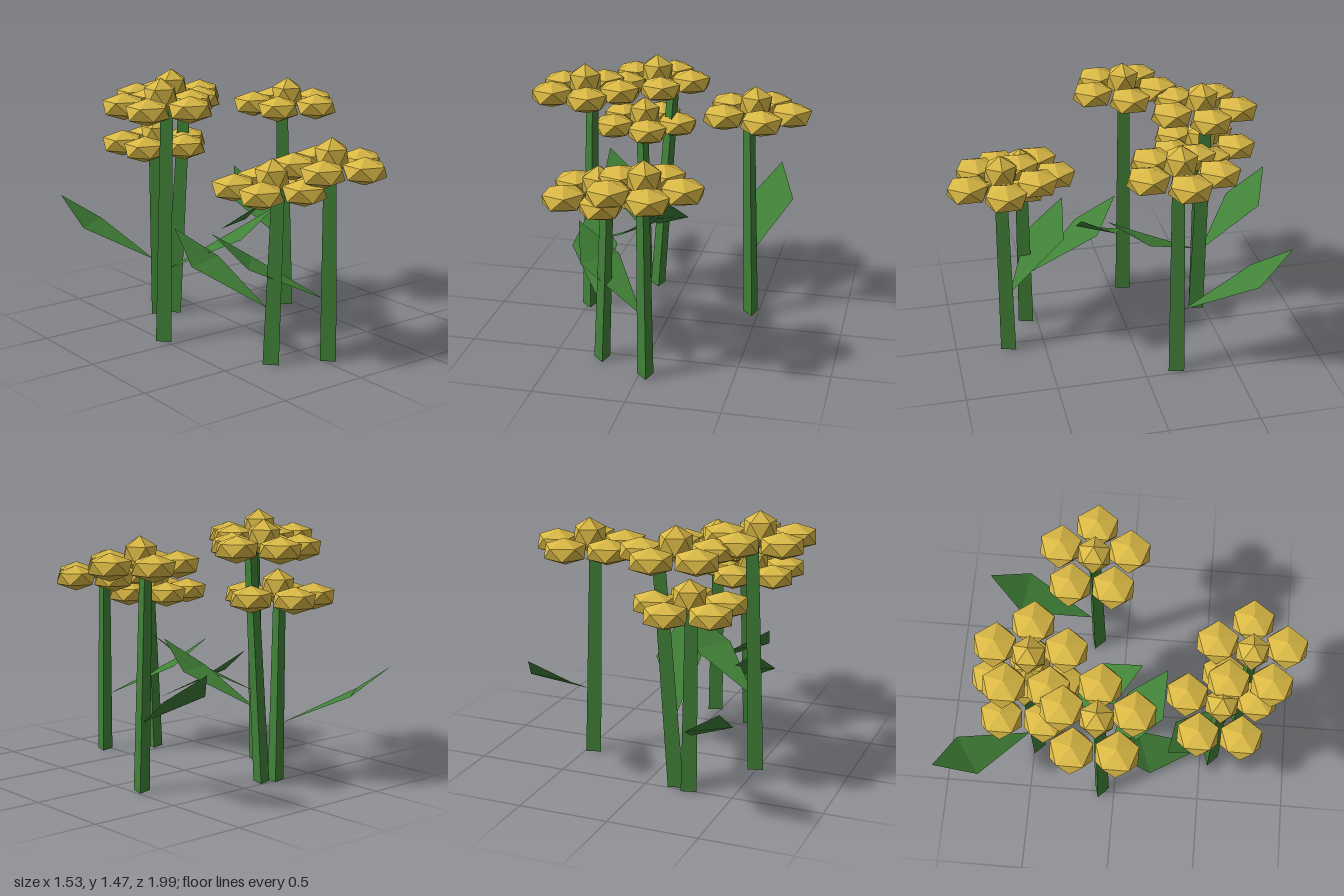
import * as THREE from 'three';

const yellow = new THREE.MeshStandardMaterial({ color: 0xd9b845 });
yellow.name = 'petalYellow';
const green = new THREE.MeshStandardMaterial({ color: 0x418238, side: THREE.DoubleSide });
green.name = 'stemGreen';

// Faceted ball standing on a vertex, squashed to the given height
function ball(radius, halfHeight) {
  const g = new THREE.IcosahedronGeometry(1, 0);
  g.rotateZ(-Math.atan(2 / (1 + Math.sqrt(5))));
  g.scale(radius, halfHeight, radius);
  return g;
}

const petalGeo = ball(0.128, 0.074);
const centreGeo = ball(0.1, 0.1);

function add(group, geometry, material, name, x = 0, y = 0, z = 0) {
  const mesh = new THREE.Mesh(geometry, material);
  mesh.name = name;
  mesh.position.set(x, y, z);
  group.add(mesh);
}

// Three-sided tapering stem, slanted sideways by lean per unit of height
function stemGeometry(height, lean) {
  const g = new THREE.CylinderGeometry(0.039, 0.05, height, 3).toNonIndexed();
  g.rotateY(Math.PI / 12);
  g.translate(0, height / 2, 0);
  const p = g.attributes.position;
  for (let i = 0; i < p.count; i++) p.setX(i, p.getX(i) + lean * p.getY(i));
  g.computeVertexNormals();
  return g;
}

// Kite-shaped leaf rising along +x, creased across its widest line
function leafGeometry() {
  const base = [0.03, 0, 0], left = [0.42, 0.19, -0.126];
  const right = [0.42, 0.19, 0.126], tip = [0.62, 0.345, 0];
  const g = new THREE.BufferGeometry();
  const corners = [base, right, left, left, right, tip].flat();
  g.setAttribute('position', new THREE.Float32BufferAttribute(corners, 3));
  g.computeVertexNormals();
  return g;
}

export function createModel() {
  const model = new THREE.Group();
  model.name = 'flowerPatch';
  const leafGeo = leafGeometry();

  // x, z, top height, stem lean, leaf height, leaf direction x and z
  const flowers = [
    [-0.49, -0.08, 1.47, 0.032, 0.415, 0.83, 0.555],
    [-0.165, -0.46, 1.445, 0.075, 0.405, 0.34, 0.94],
    [0.457, -0.18, 1.372, -0.03, 0.385, 0.12, -0.99],
    [0.037, 0.702, 1.21, -0.008, 0.34, -0.757, -0.655],
    [-0.24, 0.56, 1.112, 0.045, 0.305, -0.34, -0.94],
    [-0.25, -0.485, 1.177, -0.013, 0.325, -0.57, -0.82],
  ];

  for (const [x, z, top, lean, leafY, dx, dz] of flowers) {
    const flower = new THREE.Group();
    flower.name = 'flower';
    flower.position.set(x, 0, z);
    model.add(flower);

    add(flower, stemGeometry(top - 0.16, lean), green, 'stem');

    const leaf = new THREE.Mesh(leafGeo, green);
    leaf.name = 'leaf';
    leaf.position.y = leafY;
    leaf.rotation.y = Math.atan2(-dz, dx);
    flower.add(leaf);

    // Head: five petals around a raised centre
    add(flower, centreGeo, yellow, 'flowerCentre', 0, top - 0.1, 0);
    for (let i = 0; i < 5; i++) {
      const a = (i * Math.PI * 2) / 5;
      add(flower, petalGeo, yellow, 'petal', 0.196 * Math.cos(a), top - 0.153, 0.196 * Math.sin(a));
    }
  }
  return model;
}
